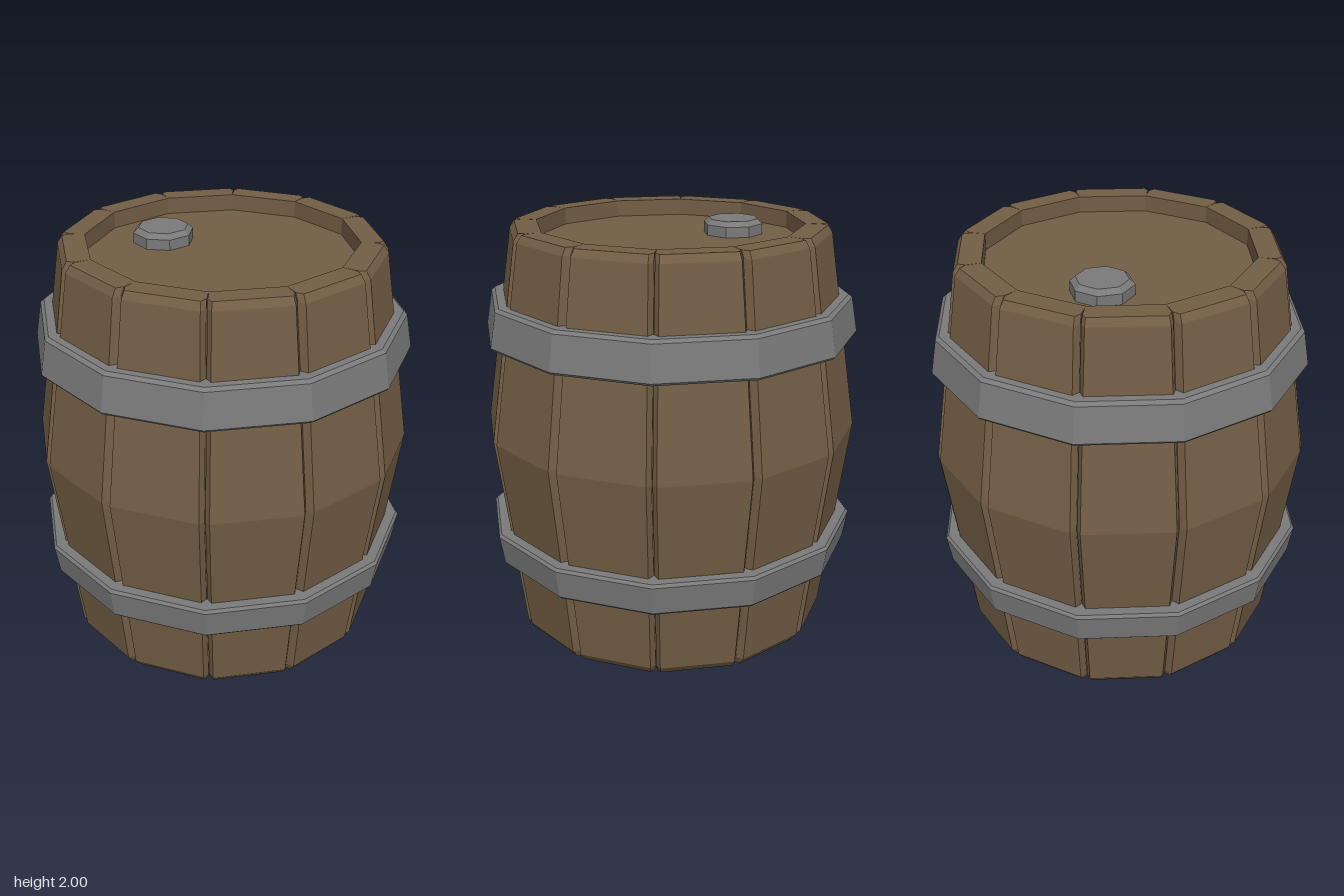
import * as THREE from 'three';

const STAVES = 12;
const HALF = Math.PI / STAVES;

// Faceted copy of a geometry
function faceted(geometry) {
  const flat = geometry.index ? geometry.toNonIndexed() : geometry;
  flat.computeVertexNormals();
  return flat;
}

// One stave facing +z: six-sided cross-sections joined from bottom to top
function staveGeometry() {
  // [height, corner radius]
  const levels = [[0, 0.75], [0.04, 0.783], [1.02, 0.915], [1.965, 0.773], [2, 0.75]];
  const chamfer = 0.024, depth = 0.035, inner = 0.64;
  const positions = [], index = [];
  for (const [y, r] of levels) {
    const a = r * Math.cos(HALF), w = r * Math.sin(HALF);
    const sideW = (a - depth) * Math.tan(HALF) - 0.002;
    const innerZ = inner * Math.cos(HALF), innerW = inner * Math.sin(HALF);
    const section = [
      [-innerW, innerZ], [-sideW, a - depth], [-(w - chamfer), a],
      [w - chamfer, a], [sideW, a - depth], [innerW, innerZ],
    ];
    for (const [x, z] of section) positions.push(x, y, z);
  }
  const n = 6, top = (levels.length - 1) * n;
  for (let l = 0; l < levels.length - 1; l++) {
    for (let i = 0; i < n; i++) {
      const p = l * n + i, q = l * n + (i + 1) % n;
      index.push(p, q, q + n, p, q + n, p + n);
    }
  }
  for (let i = 1; i < n - 1; i++) {
    index.push(top, top + i, top + i + 1);
    index.push(0, i + 1, i);
  }
  const g = new THREE.BufferGeometry();
  g.setAttribute('position', new THREE.Float32BufferAttribute(positions, 3));
  g.setIndex(index);
  return faceted(g);
}

function ring(profile) {
  return faceted(new THREE.LatheGeometry(profile.map(([r, y]) => new THREE.Vector2(r, y)), STAVES));
}

export function createModel() {
  const wood = new THREE.MeshStandardMaterial({ color: 0x735e45 });
  wood.name = 'brown wood';
  const iron = new THREE.MeshStandardMaterial({ color: 0x7a7a7a });
  iron.name = 'grey iron';

  const barrel = new THREE.Group();
  barrel.name = 'barrel';
  const add = (name, geometry, material, parent = barrel) => {
    const mesh = new THREE.Mesh(geometry, material);
    mesh.name = name;
    parent.add(mesh);
    return mesh;
  };

  // Ring of staves with joints on the x and z axes
  const staves = new THREE.Group();
  staves.name = 'staves';
  barrel.add(staves);
  const stave = staveGeometry();
  for (let i = 0; i < STAVES; i++) {
    add('stave', stave, wood, staves).rotation.y = (2 * i + 1) * HALF;
  }

  // Recessed lid and base
  const disc = faceted(new THREE.CylinderGeometry(0.645, 0.645, 0.06, STAVES));
  add('lid', disc, wood).position.y = 1.89;
  add('base', disc, wood).position.y = 0.11;

  // Iron hoops with thin bevelled edges
  add('upperHoop', ring([
    [0.79, 1.475], [0.895, 1.475], [0.905, 1.487], [0.876, 1.652], [0.858, 1.667], [0.78, 1.667],
  ]), iron);
  add('lowerHoop', ring([
    [0.79, 0.382], [0.876, 0.382], [0.889, 0.394], [0.912, 0.532], [0.9, 0.546], [0.8, 0.546],
  ]), iron);

  // Eight-sided bung with a bevelled top
  const bung = faceted(new THREE.LatheGeometry([
    [0.145, 1.9], [0.145, 1.97], [0.12, 1.993], [0, 1.993],
  ].map(([r, y]) => new THREE.Vector2(r, y)), 8));
  const bungMesh = add('bung', bung, iron);
  bungMesh.position.x = -0.34;
  bungMesh.rotation.y = 0.07;

  return barrel;
}
